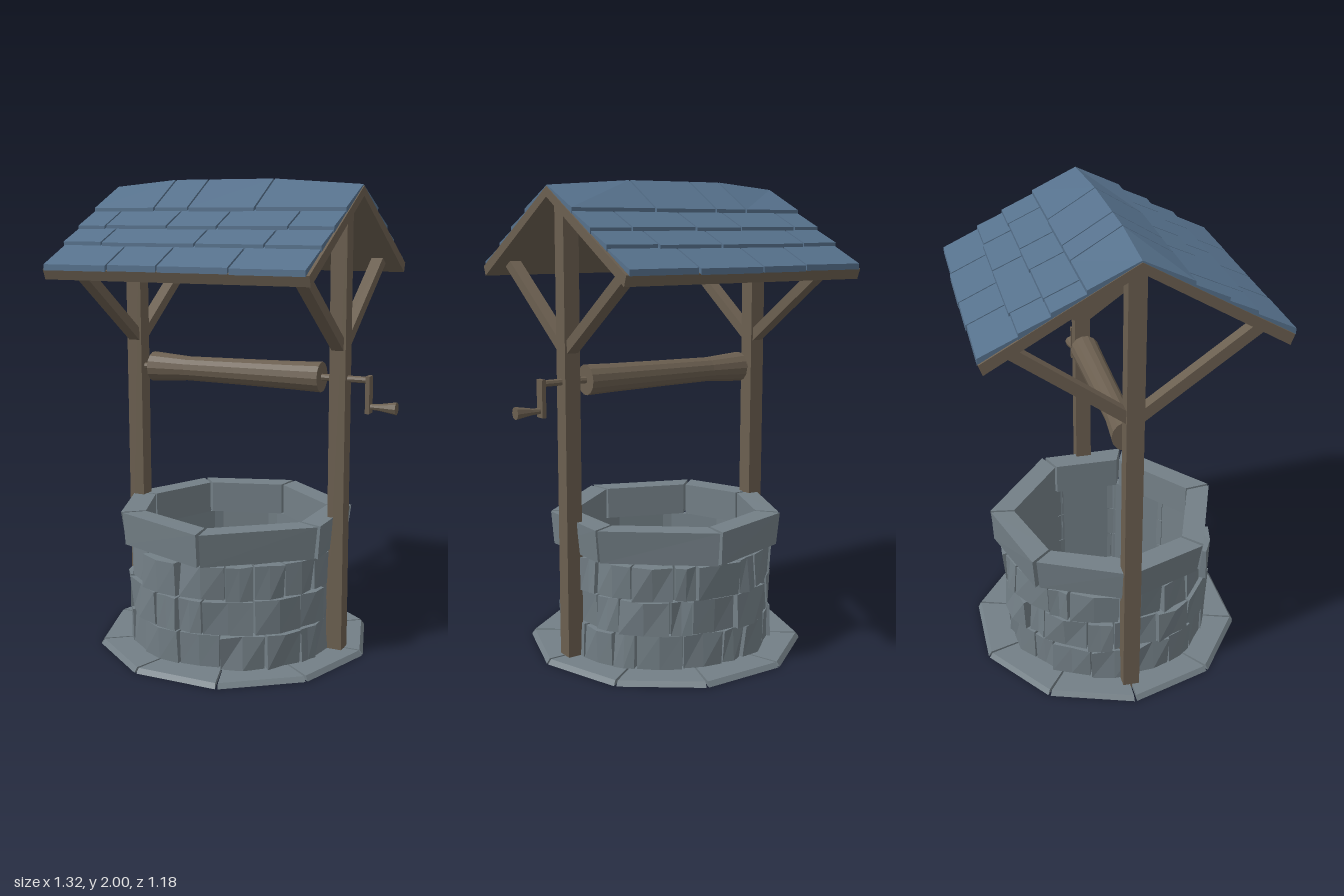
import * as THREE from 'three';

const CX = -0.065; // centre line of the well
const material = (name, color) => {
  const m = new THREE.MeshStandardMaterial({ color });
  m.name = name;
  return m;
};

// small seeded generator for uneven stones
let seed = 7;
const rand = () => {
  seed = (seed * 16807) % 2147483647;
  return seed / 2147483647;
};
const jitter = (a) => (rand() - 0.5) * 2 * a;

export function createModel() {
  const model = new THREE.Group();
  model.name = 'well';
  const wood = material('weathered wood', 0x6b5f50);
  const slate = material('blue shingle', 0x56718c);
  const stone = material('grey stone', 0x737f86);

  const add = (name, geometry, mat, parent = model) => {
    const mesh = new THREE.Mesh(geometry, mat);
    mesh.name = name;
    parent.add(mesh);
    return mesh;
  };
  const group = (name) => {
    const g = new THREE.Group();
    g.name = name;
    model.add(g);
    return g;
  };
  const facet = (geometry) => {
    const g = geometry.index ? geometry.toNonIndexed() : geometry;
    g.computeVertexNormals();
    return g;
  };

  // Block of a ring; angles in degrees run from +z towards +x
  const ringBlock = (o) => {
    const g = new THREE.BoxGeometry(2, 2, 2, o.parts || 1, 1, 1);
    const p = g.attributes.position;
    const offsets = new Map();
    const rough = o.rough || 0;
    for (let i = 0; i < p.count; i++) {
      const sx = p.getX(i), top = p.getY(i) > 0, outer = p.getZ(i) > 0;
      const key = `${sx.toFixed(1)}${top}${outer}`;
      if (!offsets.has(key)) offsets.set(key, [jitter(rough), jitter(rough * 0.25)]);
      const [dr, dy] = offsets.get(key);
      const a = THREE.MathUtils.degToRad(o.a0 + (o.a1 - o.a0) * (sx + 1) / 2);
      const r = outer ? (top ? o.topR : o.bottomR) + dr : o.inner;
      const y = (top ? o.y1 : o.y0) + (outer ? dy : 0);
      p.setXYZ(i, CX + r * Math.sin(a), y, r * Math.cos(a));
    }
    return facet(g);
  };
  const ring = (name, joints, gap, options) => {
    const g = group(name);
    joints.forEach((a, i) => {
      const end = i + 1 < joints.length ? joints[i + 1] : joints[0] + 360;
      const bulge = options.uneven ? jitter(options.uneven) : 0;
      add(name + 'Stone', ringBlock({
        ...options, a0: a + gap, a1: end - gap,
        topR: options.topR + bulge, bottomR: options.bottomR + bulge,
      }), stone, g);
    });
  };

  // Base paving: ten flat slabs
  ring('base', Array.from({ length: 10 }, (_, i) => 18 + 18 + i * 36 - 18), 0.5,
    { inner: 0.42, topR: 0.585, bottomR: 0.6, y0: 0, y1: 0.02 });

  // Inner wall of the shaft
  const shaft = new THREE.CylinderGeometry(0.42, 0.42, 0.45, 10, 1, true);
  shaft.translate(CX, 0.235, 0);
  const shaftMesh = add('shaftWall', facet(shaft), stone.clone());
  shaftMesh.material.side = THREE.DoubleSide;

  // Three courses of uneven stones
  const courses = [
    [-48, -31, -6, 17, 41, 61, 72, 98, 118, 130, 155, 178, 192, 215, 228, 250, 275, 295],
    [-52, -20, -6, 8, 35, 62, 80, 107, 121, 148, 160, 185, 210, 222, 248, 262, 287],
    [-52, -31, -6, 20, 35, 52, 71, 95, 107, 128, 150, 162, 187, 200, 226, 238, 265, 290],
  ];
  courses.forEach((joints, i) => ring('course' + (i + 1), joints, 0.6, {
    inner: 0.415, topR: 0.455, bottomR: 0.455, parts: 2, rough: 0.012, uneven: 0.01,
    y0: 0.02 + i * 0.147, y1: 0.162 + i * 0.147,
  }));

  // Heavy rim of long slabs
  ring('rim', [8, 68, 112, 172, 222, 270, 312], 0.8,
    { inner: 0.4, topR: 0.505, bottomR: 0.49, rough: 0.006, y0: 0.462, y1: 0.602 });

  // Posts and their diagonal braces
  for (const side of [-1, 1]) {
    const x = CX + side * 0.48;
    const post = add('post', new THREE.BoxGeometry(0.07, 1.94, 0.07), wood);
    post.position.set(x, 0.97, 0);
    for (const dir of [-1, 1]) {
      const length = Math.hypot(0.49, 0.355);
      const brace = add('brace', new THREE.BoxGeometry(0.052, 0.045, length), wood);
      brace.position.set(x, 1.4875, dir * 0.245);
      brace.rotation.x = -dir * Math.atan2(0.355, 0.49);
    }
  }

  // Extrude a (z, y) outline along x
  const alongX = (points, x0, x1) => {
    const shape = new THREE.Shape(points.map(([z, y]) => new THREE.Vector2(z, y)));
    const g = new THREE.ExtrudeGeometry(shape, { depth: x1 - x0, bevelEnabled: false });
    return g.rotateY(-Math.PI / 2).translate(x1, 0, 0);
  };

  // Roof boards
  add('roofBoards', alongX([[0, 1.968], [0.58, 1.641], [0.565, 1.6], [0, 1.928],
    [-0.565, 1.6], [-0.58, 1.641]], -0.635, 0.505), wood);

  // Shingle rows from eave to ridge, each lifted at its lower edge
  const rows = [
    { low: 0.585, high: 0.42, cuts: [-0.63, -0.338, -0.118, 0.185, 0.497] },
    { low: 0.437, high: 0.305, cuts: [-0.635, -0.45, -0.03, 0.265, 0.5] },
    { low: 0.322, high: 0.18, cuts: [-0.635, -0.5, -0.215, 0.01, 0.312, 0.503] },
    { low: 0.192, high: 0, cuts: [-0.635, -0.343, -0.186, 0.115, 0.505] },
  ];
  const roofY = (z) => 1.968 - 0.564 * z;
  const shingles = group('shingles');
  for (const dir of [-1, 1]) {
    rows.forEach(({ low, high, cuts }, r) => {
      for (let i = 0; i + 1 < cuts.length; i++) {
        const z0 = low + jitter(0.004);
        const lift = r === 3 ? 0.032 : 0.008;
        const outline = [[z0, roofY(z0)], [z0, roofY(z0) + 0.024],
          [high, roofY(high) + lift], [high, roofY(high)]].map(([z, y]) => [z * dir, y]);
        const g = alongX(outline, cuts[i] + 0.004, cuts[i + 1] - 0.004);
        if (r === 3) { // ridge line dips towards both gables
          const p = g.attributes.position;
          for (let k = 0; k < p.count; k++) {
            const end = p.getX(k) < -0.6 || p.getX(k) > 0.49;
            if (end && p.getY(k) > 1.99) p.setY(k, 1.974);
          }
          g.computeVertexNormals();
        }
        add('shingle', g, slate, shingles);
      }
    });
  }

  // Turned parts around the x axis: [x, radius] profile
  const turned = (profile, y, sides) => {
    const pts = profile.map(([x, r]) => new THREE.Vector2(r, x));
    const g = new THREE.LatheGeometry(pts, sides);
    return facet(g.rotateZ(-Math.PI / 2).translate(0, y, 0));
  };
  add('windlassDrum', turned([[-0.465, 0], [-0.465, 0.066], [-0.29, 0.053],
    [-0.05, 0.056], [0.2, 0.06], [0.335, 0.064], [0.335, 0]], 1.19, 14), wood);
  add('axle', turned([[-0.56, 0], [-0.56, 0.014], [0.55, 0.014], [0.55, 0]], 1.19, 8), wood);

  // Crank arm and handle
  const arm = add('crankArm', new THREE.BoxGeometry(0.018, 0.155, 0.046), wood);
  arm.position.set(0.541, 1.13, 0);
  add('crankHandle', turned([[0.545, 0], [0.545, 0.012], [0.585, 0.014],
    [0.66, 0.027], [0.66, 0]], 1.08, 8), wood);

  return model;
}
